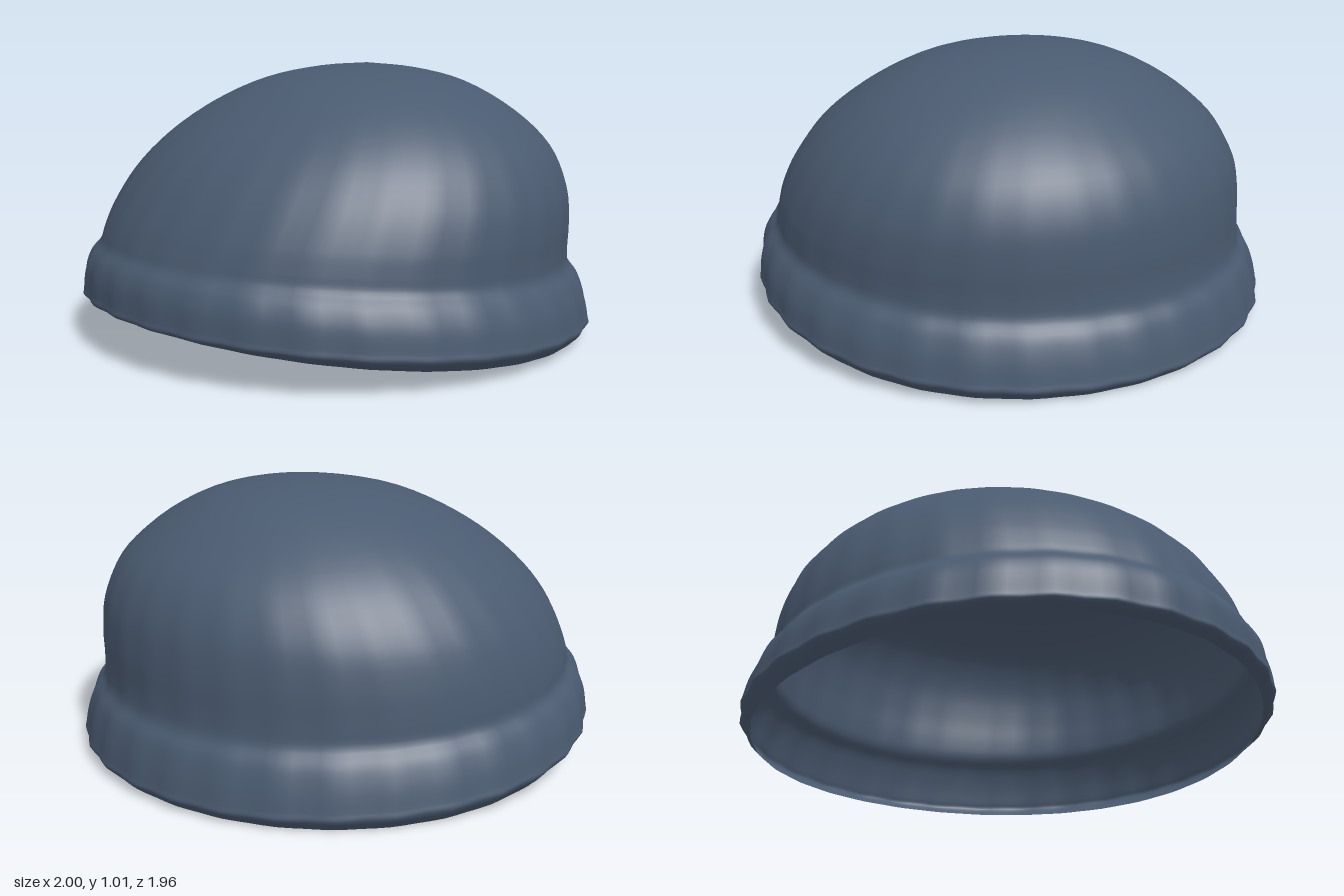
import * as THREE from 'three';

// Each row is one ring from rim to top: extent and height at the
// front (+z), back (-z), left (+x) and right (-x), then rib depth.
const RINGS = [
  [0.93, 0.147, -0.945, 0.003, 0.95, 0.038, -0.95, 0.025, 0.002],
  [0.974, 0.17, -0.974, 0.035, 0.992, 0.085, -0.992, 0.075, 0.005],
  [0.973, 0.195, -0.97, 0.06, 0.989, 0.11, -0.988, 0.1, 0.005],
  [0.965, 0.27, -0.955, 0.13, 0.977, 0.18, -0.973, 0.17, 0.005],
  [0.945, 0.32, -0.93, 0.2, 0.95, 0.245, -0.945, 0.235, 0.004],
  [0.912, 0.36, -0.895, 0.25, 0.915, 0.295, -0.91, 0.28, 0.003],
  [0.895, 0.4, -0.885, 0.32, 0.91, 0.35, -0.903, 0.34, 0.003],
  [0.86, 0.475, -0.882, 0.44, 0.908, 0.43, -0.885, 0.44, 0.003],
  [0.765, 0.62, -0.86, 0.58, 0.885, 0.555, -0.838, 0.57, 0.003],
  [0.64, 0.745, -0.795, 0.71, 0.81, 0.7, -0.725, 0.722, 0.002],
  [0.47, 0.86, -0.67, 0.825, 0.66, 0.84, -0.56, 0.85, 0.001],
  [0.28, 0.95, -0.49, 0.937, 0.44, 0.95, -0.34, 0.95, 0],
  [0.07, 0.995, -0.3, 0.99, 0.24, 0.995, -0.14, 0.995, 0],
  [-0.12, 1.01, -0.12, 1.01, 0.05, 1.01, 0.05, 1.01, 0],
];
const BRIM_RINGS = 5;
const STEPS = 4;
const SEGMENTS = 128;
const RIBS = 32;

function createHat() {
  // Smooth profile curve for each of the four sides
  const sides = [0, 2, 4, 6].map((k) => new THREE.CatmullRomCurve3(
    RINGS.map((r) => new THREE.Vector3(r[k], r[k + 1], r[8]))));
  const rows = (RINGS.length - 1) * STEPS;
  const positions = [];
  for (let j = 0; j <= rows; j++) {
    const [front, back, left, right] = sides.map((c) => c.getPoint(j / rows));
    for (let i = 0; i < SEGMENTS; i++) {
      const a = (i / SEGMENTS) * Math.PI * 2;
      const s = Math.sin(a), c = Math.cos(a);
      const rib = 1 + front.z * Math.cos(a * RIBS);
      // Tilted, gently saddled ring height
      const y = (c * (front.y - back.y) + c * c * (front.y + back.y)
        + s * (left.y - right.y) + s * s * (left.y + right.y)) / 2;
      positions.push(
        (left.x + right.x) / 2 + ((left.x - right.x) / 2) * s * rib,
        y,
        (front.x + back.x) / 2 + ((front.x - back.x) / 2) * c * rib);
    }
  }
  // Skin a range of rows with quads
  const skin = (from, to) => {
    const index = [];
    for (let j = from; j < to; j++) {
      for (let i = 0; i < SEGMENTS; i++) {
        const n = (i + 1) % SEGMENTS;
        const a = j * SEGMENTS + i, b = j * SEGMENTS + n;
        const d = a + SEGMENTS, e = b + SEGMENTS;
        index.push(a, b, d);
        if (j < rows - 1) index.push(b, e, d);
      }
    }
    return index;
  };
  const whole = new THREE.BufferGeometry();
  whole.setAttribute('position', new THREE.Float32BufferAttribute(positions, 3));
  whole.setIndex(skin(0, rows));
  whole.computeVertexNormals();
  // The pole is a single point, so its normals all face up
  for (let i = 0; i < SEGMENTS; i++) {
    whole.attributes.normal.setXYZ(rows * SEGMENTS + i, 0, 1, 0);
  }
  // Brim and crown share normals so that the join stays smooth
  const part = (from, to) => whole.clone().setIndex(skin(from, to));
  return {
    brim: part(0, BRIM_RINGS * STEPS),
    crown: part(BRIM_RINGS * STEPS, rows),
  };
}

export function createModel() {
  const group = new THREE.Group();
  group.name = 'knitCap';
  const wool = new THREE.MeshStandardMaterial({ color: 0x4a5a70, side: THREE.DoubleSide });
  wool.name = 'slateBlueWool';
  for (const [name, geometry] of Object.entries(createHat())) {
    const mesh = new THREE.Mesh(geometry, wool);
    mesh.name = name;
    group.add(mesh);
  }
  return group;
}
